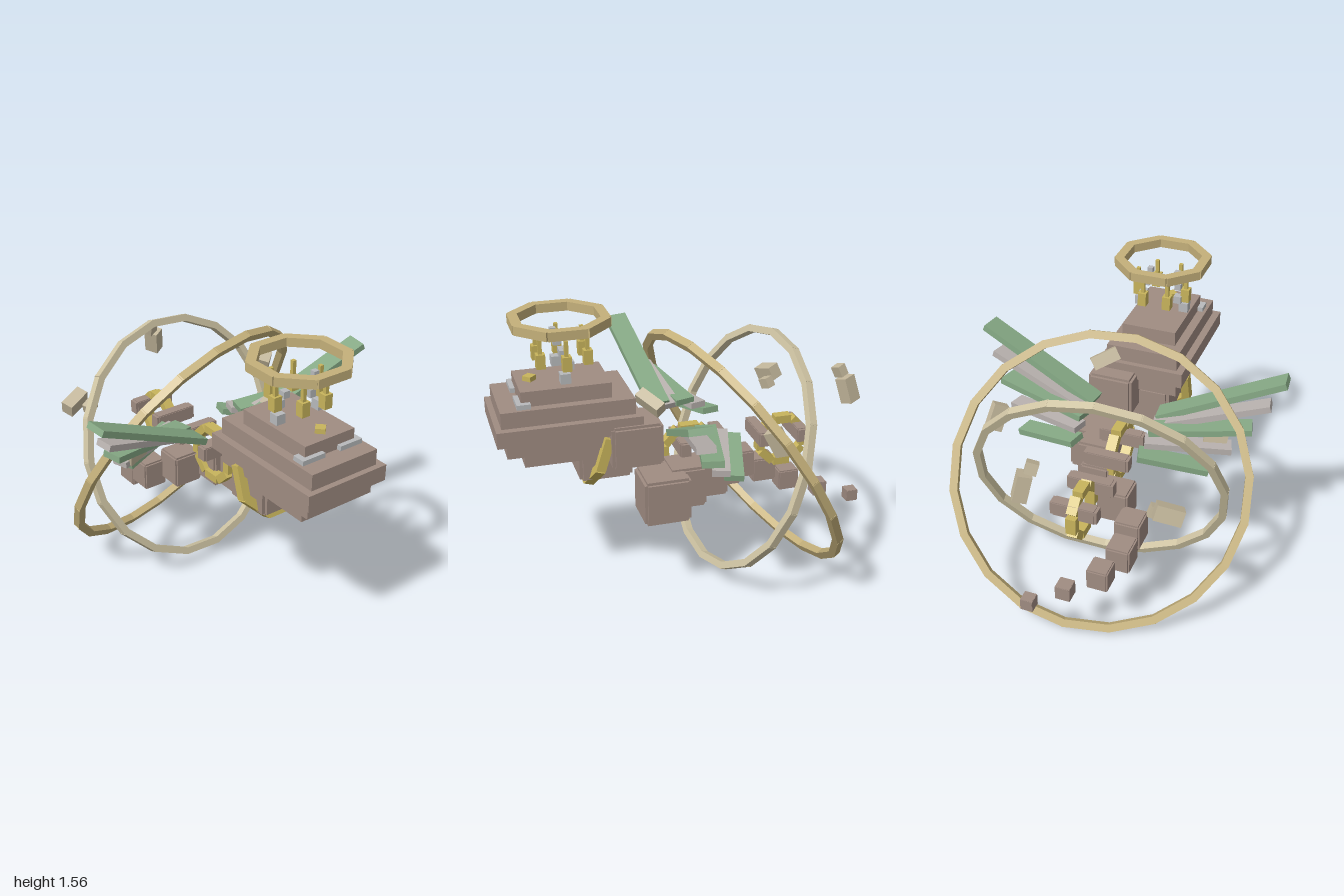
import * as THREE from 'three';

const mat = (name, color) => {
  const m = new THREE.MeshStandardMaterial({ color });
  m.name = name;
  return m;
};

export function createModel() {
  const root = new THREE.Group();
  const stone = mat('brown stone', 0xa08c82);
  const green = mat('sage green', 0x86a985);
  const grey = mat('warm grey', 0xb9b2af);
  const silver = mat('silver', 0xb8babc);
  const gold = mat('gold', 0xc8b45c);
  const brass = mat('pale brass', 0xc4b07a);
  const sand = mat('sand', 0xd0c5a4);
  const rubble = mat('rubble', 0xc4b89c);

  const group = (name, parent = root) => {
    const g = new THREE.Group();
    g.name = name;
    parent.add(g);
    return g;
  };
  const box = (name, m, [w, h, d], [x, y, z], parent = root, rot = [0, 0, 0]) => {
    const b = new THREE.Mesh(new THREE.BoxGeometry(w, h, d), m);
    b.name = name;
    b.position.set(x, y, z);
    b.rotation.set(...rot);
    parent.add(b);
    return b;
  };
  // Block with stepped edges: three crossing boxes
  const block = (name, [w, h, d], pos, parent, k = 0.88) => {
    const g = group(name, parent);
    g.position.set(...pos);
    for (const s of [[w, h * k, d * k], [w * k, h, d * k], [w * k, h * k, d]]) box(name, stone, s, [0, 0, 0], g);
  };
  // Ring of straight bars in the plane of u and v
  const ring = (name, m, center, u, v, r, n, thick, depth, count = n, start = 0, fill = 1.06) => {
    const g = group(name);
    const U = new THREE.Vector3(...u).normalize();
    const W = U.clone().cross(new THREE.Vector3(...v)).normalize();
    const V = W.clone().cross(U);
    g.quaternion.setFromRotationMatrix(new THREE.Matrix4().makeBasis(U, V, W));
    g.position.set(...center);
    const len = 2 * r * Math.tan(Math.PI / n) * fill;
    for (let i = 0; i < count; i++) {
      const a = start + (i / n) * Math.PI * 2;
      box(name + 'Bar', m, [thick, len, depth], [r * Math.cos(a), r * Math.sin(a), 0], g, [0, 0, a]);
    }
  };

  // Head: tiers of [half width, bottom, top, back, front]
  const head = group('head');
  for (const [hw, y0, y1, z0, z1] of [
    [0.155, 0.83, 0.92, 0.4, 0.86],
    [0.2, 0.91, 0.995, 0.29, 0.95],
    [0.24, 0.99, 1.075, 0.26, 1.0],
    [0.2, 1.07, 1.16, 0.29, 0.97],
    [0.152, 1.155, 1.24, 0.4, 0.86],
  ]) box('headTier', stone, [hw * 2, y1 - y0, z1 - z0], [0, (y0 + y1) / 2, (z0 + z1) / 2], head);
  box('browJewel', gold, [0.05, 0.035, 0.05], [0, 1.248, 0.79], head, [0, Math.PI / 4, 0]);
  for (const s of [-1, 1]) box('eye', silver, [0.135, 0.03, 0.07], [s * 0.115, 1.17, 0.85], head);

  // Body chain, tapering to loose tail blocks
  const body = group('body');
  for (const [x, y, z, w, h, d] of [
    [0, 0.805, 0.44, 0.31, 0.21, 0.28],
    [0.14, 0.915, 0.295, 0.25, 0.23, 0.27],
    [0.21, 0.605, 0.155, 0.24, 0.25, 0.25],
    [0.14, 0.625, 0.02, 0.2, 0.23, 0.2],
    [0.08, 0.615, -0.135, 0.16, 0.2, 0.18],
    [-0.07, 0.58, -0.275, 0.17, 0.185, 0.16],
    [-0.2, 0.525, -0.41, 0.14, 0.16, 0.15],
    [-0.2, 0.47, -0.55, 0.13, 0.14, 0.14],
    [-0.135, 0.415, -0.68, 0.115, 0.12, 0.12],
  ]) block('bodySegment', [w, h, d], [x, y, z], body);
  block('tailBlock', [0.08, 0.08, 0.08], [0, 0.395, -0.825], body, 0.95);
  block('tailBlock', [0.066, 0.066, 0.066], [0.135, 0.395, -0.967], body, 0.95);

  // Collar under the head, lower half of an octagon
  ring('collar', gold, [0, 0.875, 0.46], [1, 0, 0], [0, 0.95, -0.3], 0.208, 8, 0.045, 0.05, 5, Math.PI);

  // Floating crown, its candles and drifting cubes
  ring('crown', brass, [0, 1.543, 0.625], [1, 0, 0], [0, 0, 1], 0.22, 8, 0.05, 0.047);
  const candles = group('candles');
  for (let i = 0; i < 6; i++) {
    const a = (i * Math.PI) / 3;
    const x = 0.138 * Math.cos(a), z = 0.62 + 0.138 * Math.sin(a);
    box('candleBase', gold, [0.046, 0.075, 0.046], [x, 1.362, z], candles);
    box('candleStem', gold, [0.02, 0.085, 0.02], [x, 1.437, z], candles);
  }
  for (const s of [-1, 1])
    for (const [x, y, z, d] of [
      [0.128, 1.285, 0.63, 0.052], [0.1, 1.34, 0.6, 0.042], [0.09, 1.4, 0.63, 0.036], [0.077, 1.465, 0.647, 0.03],
    ]) box('driftingCube', silver, [d, d, d], [s * x, y, z], candles);

  // Wing feathers: root, tip and width, mirrored
  for (const s of [-1, 1]) {
    const wing = group(s > 0 ? 'leftWing' : 'rightWing');
    for (const [m, a, b, w] of [
      [green, [0.18, 0.94, 0.065], [0.835, 1.24, 0.147], 0.12],
      [grey, [0.18, 0.925, -0.01], [0.77, 1.11, 0.1], 0.095],
      [green, [0.18, 0.94, -0.085], [0.695, 0.99, 0.04], 0.11],
      [grey, [0.18, 0.91, -0.16], [0.61, 0.89, -0.03], 0.09],
      [green, [0.17, 0.875, -0.23], [0.52, 0.805, -0.13], 0.1],
    ]) {
      const A = new THREE.Vector3(s * a[0], a[1], a[2]), B = new THREE.Vector3(s * b[0], b[1], b[2]);
      const X = B.clone().sub(A), len = X.length();
      X.normalize();
      const Y = new THREE.Vector3(0, 0, 1).cross(X).normalize();
      const Z = X.clone().cross(Y);
      const f = box('feather', m, [len, 0.034, w], A.add(B).multiplyScalar(0.5).toArray(), wing);
      f.quaternion.setFromRotationMatrix(new THREE.Matrix4().makeBasis(X, Y, Z));
    }
  }

  // Two great tilted hoops
  ring('outerHoop', brass, [0, 0.715, -0.34], [0.77, 0.03, -0.18], [0.08, 0.7, 0.37], 0.765, 20, 0.042, 0.042);
  ring('innerHoop', sand, [0, 0.715, -0.335], [0.66, 0.03, -0.1], [-0.05, 0.64, -0.22], 0.65, 18, 0.038, 0.042);

  // Small upright wheels and crossbars above the body
  ring('rearWheel', gold, [0, 0.73, -0.585], [0, 0, 1], [0, 1, 0], 0.125, 8, 0.045, 0.055, 8, 0, 0.9);
  ring('frontWheel', gold, [0, 0.73, -0.05], [0, 0, 1], [0, 1, 0], 0.14, 8, 0.045, 0.055, 8, 0, 0.9);
  const bars = group('crossbars');
  for (const z of [-0.667, -0.447, -0.226, 0]) block('crossbar', [0.25, 0.08, 0.062], [0, 0.79, z], bars);

  // Floating rubble
  const debris = group('floatingRubble');
  for (const [size, pos, rot] of [
    [[0.15, 0.07, 0.06], [0.18, 1.12, 0.21], [0.5, 0.4, -0.6]],
    [[0.07, 0.14, 0.08], [0.17, 1.06, -0.89], [0.15, 0.5, 0.2]],
    [[0.06, 0.06, 0.05], [0.13, 1.155, -0.855], [0.3, 0.4, 0.2]],
    [[0.14, 0.08, 0.07], [-0.49, 0.93, -0.69], [0.3, 0.4, 0.2]],
    [[0.07, 0.06, 0.05], [-0.415, 0.895, -0.655], [0.2, 0.4, 0.3]],
    [[0.08, 0.14, 0.06], [0.57, 1.0, -0.34], [0.3, 0.7, 0.25]],
    [[0.12, 0.06, 0.05], [-0.52, 0.92, -0.02], [0.2, 0.3, 0.15]],
  ]) box('rubblePiece', rubble, size, pos, debris, rot);

  return root;
}
